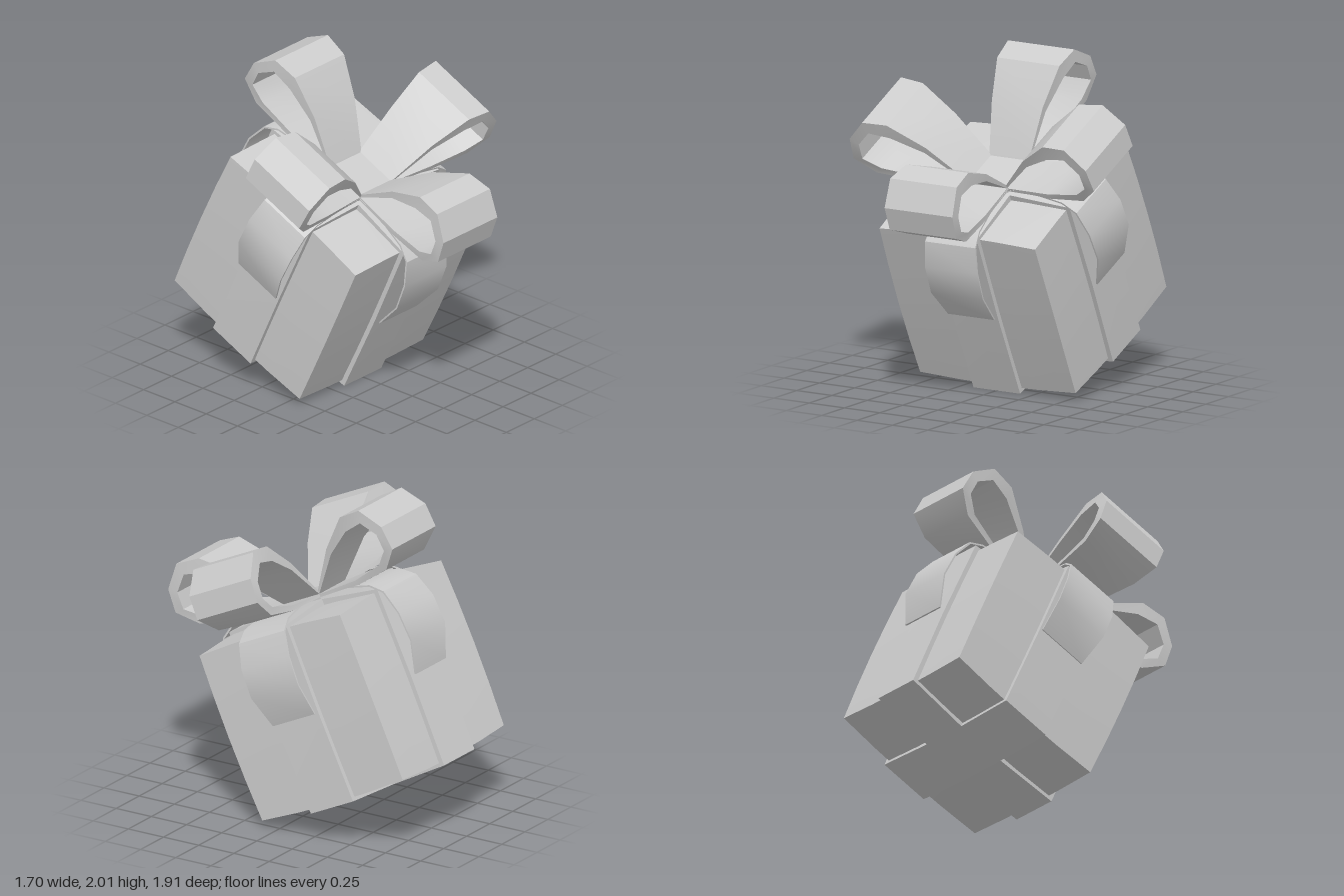
import * as THREE from 'three';
import { toCreasedNormals } from 'three/addons/utils/BufferGeometryUtils.js';

const grey = new THREE.MeshStandardMaterial({ color: 0xcccccc });
grey.name = 'paper grey';

function add(parent, name, geometry) {
  const mesh = new THREE.Mesh(toCreasedNormals(geometry, 0.6), grey);
  mesh.name = name;
  parent.add(mesh);
  return mesh;
}

// Ribbon swept through stations [outer z, outer y, inner z, inner y, half width]
function ribbon(stations) {
  const positions = [], index = [];
  for (const [oz, oy, iz, iy, w] of stations) {
    positions.push(-w, oy, oz, w, oy, oz, w, iy, iz, -w, iy, iz);
  }
  const quad = (a, b, c, d) => index.push(a, b, c, a, c, d);
  for (let s = 0; s < stations.length - 1; s++) {
    for (let k = 0; k < 4; k++) {
      const a = s * 4 + k, d = s * 4 + (k + 1) % 4;
      quad(a, a + 4, d + 4, d);
    }
  }
  const e = (stations.length - 1) * 4;
  quad(0, 1, 2, 3);
  quad(e + 3, e + 2, e + 1, e);
  const g = new THREE.BufferGeometry();
  g.setAttribute('position', new THREE.Float32BufferAttribute(positions, 3));
  g.setIndex(index);
  return g;
}

export function createModel() {
  const model = new THREE.Group();
  model.name = 'giftBox';
  const tilt = new THREE.Group();
  tilt.name = 'tiltedGift';
  tilt.rotation.x = THREE.MathUtils.degToRad(25);
  model.add(tilt);
  const gift = new THREE.Group();
  gift.name = 'gift';
  gift.position.z = -0.485;
  tilt.add(gift);

  // Box with softly swollen top and bottom
  const box = new THREE.BoxGeometry(1.1, 1.054, 1.1, 4, 4, 4);
  const p = box.attributes.position;
  for (let i = 0; i < p.count; i++) {
    const x = p.getX(i) / 0.55, y = p.getY(i) / 0.527, z = p.getZ(i) / 0.55;
    p.setXYZ(i,
      x * (0.55 + 0.008 * (1 - y * y)),
      y * (0.527 + 0.02 * (2 - x * x - z * z)) + 0.607,
      z * (0.55 + 0.008 * (1 - y * y)));
  }
  add(gift, 'box', box);

  // Two crossing bands around the box
  const half = [[0.165, 0.018], [0.58, 0.042], [0.588, 0.6], [0.58, 1.17], [0.165, 1.205]];
  const outline = [...half, ...half.map(([x, y]) => [-x, y]).reverse()];
  const band = new THREE.ExtrudeGeometry(
    new THREE.Shape(outline.map(([x, y]) => new THREE.Vector2(x, y))),
    { depth: 0.33, bevelEnabled: false });
  band.translate(0, 0, -0.165);
  add(gift, 'sideBand', band);
  add(gift, 'frontBand', band).rotation.y = Math.PI / 2;

  // Four bow loops and four loose tails, one of each per side
  const loop = ribbon([
    [0.13, 1.246, 0.14, 1.236, 0.14],
    [0.342, 1.489, 0.36, 1.45, 0.18],
    [0.552, 1.653, 0.553, 1.56, 0.22],
    [0.713, 1.662, 0.69, 1.587, 0.235],
    [0.835, 1.53, 0.78, 1.495, 0.24],
    [0.85, 1.382, 0.786, 1.388, 0.235],
    [0.73, 1.272, 0.69, 1.31, 0.205],
    [0.464, 1.226, 0.451, 1.256, 0.17],
    [0.13, 1.222, 0.14, 1.234, 0.14],
  ]);
  const tail = ribbon([
    [0.1, 1.225, 0.1, 1.215, 0.14],
    [0.37, 1.235, 0.37, 1.225, 0.16],
    [0.54, 1.207, 0.535, 1.197, 0.17],
    [0.63, 1.148, 0.62, 1.142, 0.177],
    [0.688, 1.0, 0.678, 0.998, 0.185],
    [0.7, 0.82, 0.69, 0.82, 0.183],
    [0.625, 0.615, 0.615, 0.618, 0.163],
  ]);
  ['front', 'left', 'back', 'right'].forEach((side, i) => {
    add(gift, side + 'BowLoop', loop).rotation.y = i * Math.PI / 2;
    add(gift, side + 'Tail', tail).rotation.y = i * Math.PI / 2;
  });

  // Flat knot where the loops meet
  const knot = new THREE.BoxGeometry(0.28, 0.05, 0.28);
  knot.translate(0, 1.221, 0);
  add(gift, 'knot', knot);

  return model;
}
